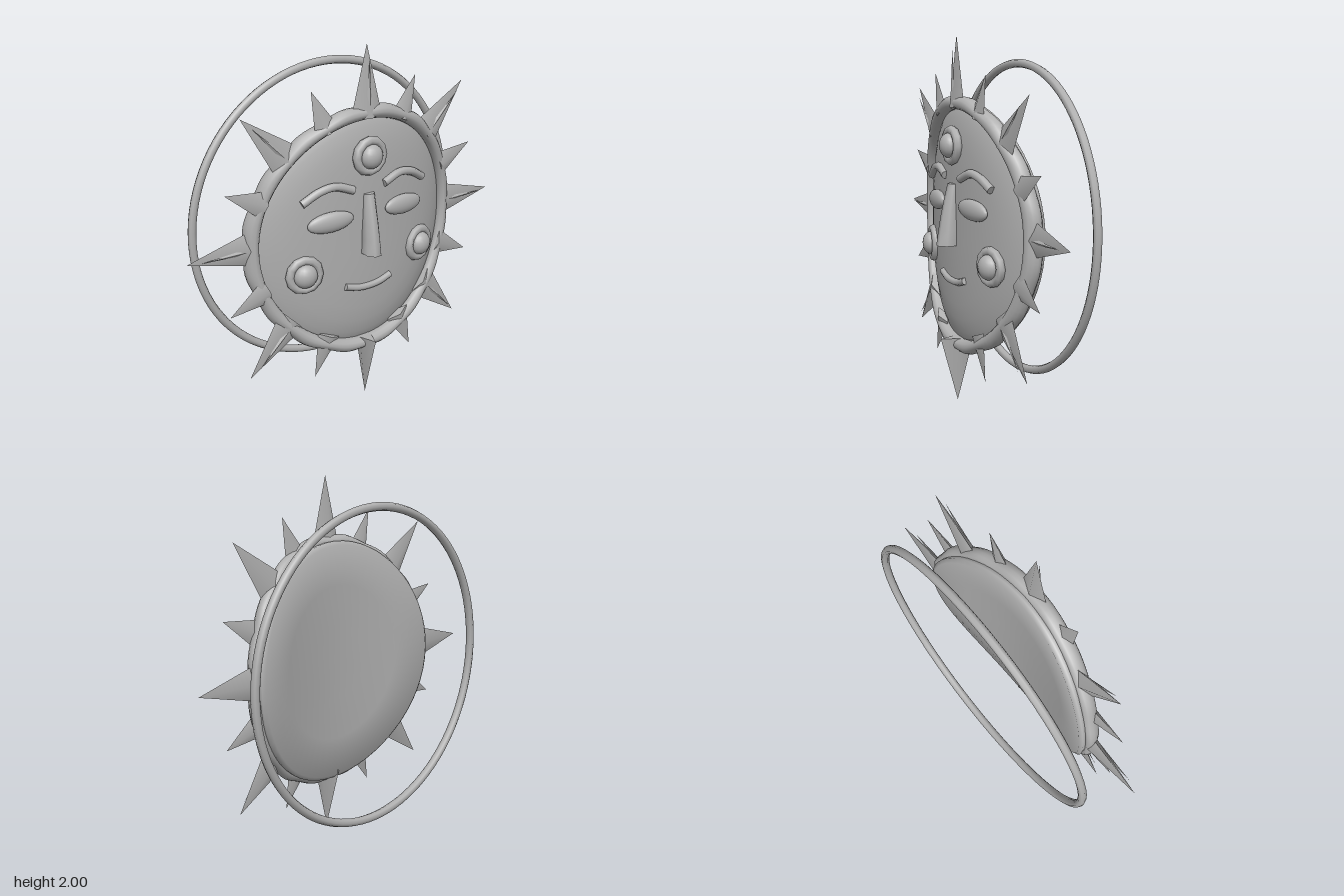
import * as THREE from 'three';
import { toCreasedNormals } from 'three/addons/utils/BufferGeometryUtils.js';

const BEND = 0.28;            // the mask curves backwards towards its sides
const CY = 0.984;             // height of the face centre
const TALL = 1.03;            // the face is slightly taller than wide
const bendZ = (x) => -BEND * x * x;

// Push every vertex back along the cylindrical curve of the mask
function bend(geometry) {
  const p = geometry.attributes.position;
  for (let i = 0; i < p.count; i++) {
    p.setXYZ(i, p.getX(i), p.getY(i) * TALL, p.getZ(i) + bendZ(p.getX(i)));
  }
  return toCreasedNormals(geometry, 1.3);
}

export function createModel() {
  const root = new THREE.Group();
  root.name = 'sunMask';
  const stone = new THREE.MeshStandardMaterial({ color: 0xb0b0b0 });
  stone.name = 'grey';

  const add = (name, geometry, parent = root) => {
    const mesh = new THREE.Mesh(geometry, stone);
    mesh.name = name;
    parent.add(mesh);
    return mesh;
  };
  // Place a part on the curved face, turned to its slope
  const onFace = (mesh, x, y, z) => {
    mesh.position.set(x, y, z + bendZ(x));
    mesh.rotation.y = Math.atan(2 * BEND * x);
    return mesh;
  };

  // Face plate: softly domed front, flat back with rounded edge
  const profile = [
    [0, 0.045], [0.2, 0.045], [0.42, 0.045], [0.63, 0.05], [0.65, 0.068],
    [0.645, 0.1], [0.615, 0.118], [0.57, 0.135], [0.5, 0.15], [0.42, 0.158],
    [0.3, 0.163], [0.15, 0.164], [0, 0.164],
  ].map(([r, z]) => new THREE.Vector2(r, z));
  const plate = new THREE.LatheGeometry(profile, 64);
  plate.rotateX(Math.PI / 2);
  add('face', bend(plate)).position.y = CY;

  // Gently scalloped rim around the face
  const rimGeo = new THREE.TorusGeometry(0.642, 0.036, 12, 128);
  const rp = rimGeo.attributes.position;
  for (let i = 0; i < rp.count; i++) {
    const x = rp.getX(i), y = rp.getY(i), r = Math.hypot(x, y);
    const wave = -0.005 * Math.cos(16 * Math.atan2(y, x)) * Math.max(0, (r - 0.62) / 0.058);
    rp.setXYZ(i, x * (1 + wave / r), y * (1 + wave / r), rp.getZ(i) * 1.25 + 0.13);
  }
  add('rim', bend(rimGeo)).position.y = CY;

  // Rays: four-sided spikes, alternating long and short
  const spike = (length, halfWide, halfDeep) => {
    const g = new THREE.ConeGeometry(1, length, 4, 1);
    g.scale(halfWide, 1, halfDeep);
    g.translate(0, length / 2, 0);
    return toCreasedNormals(g, 1.2);
  };
  const rays = new THREE.Group();
  rays.name = 'rays';
  root.add(rays);
  for (let i = 0; i < 16; i++) {
    const a = (i * Math.PI) / 8;
    const long = i % 2 === 0, bottom = i === 8;
    const tip = long ? 1 : 0.865;
    const base = bottom ? 0.64 : 0.62;
    const tipX = Math.sin(a) * tip;
    const ray = new THREE.Group();
    ray.name = long ? 'longRay' : 'shortRay';
    ray.rotation.z = -a;
    ray.position.set(Math.sin(a) * base, 1 + Math.cos(a) * base, 0.14 - 0.13 * tipX * tipX);
    rays.add(ray);
    if (bottom) {
      add('raySpike', spike(tip - base, 0.038, 0.1), ray);
    } else {
      add('raySpike', spike(tip - base, long ? 0.1 : 0.075, long ? 0.042 : 0.033), ray);
      // thin raised ridge on the front of the spike
      if (long) add('rayRidge', spike(0.31, 0.02, 0.014), ray).position.z = 0.024;
    }
  }

  // Round ornaments: forehead and both cheeks
  for (const [name, x, y, z] of [['forehead', 0, 1.42, 0.172], ['leftCheek', 0.385, 0.825, 0.163], ['rightCheek', -0.385, 0.825, 0.163]]) {
    const g = onFace(new THREE.Group(), x, y, z);
    g.name = name;
    root.add(g);
    add('ornamentRing', new THREE.TorusGeometry(0.083, 0.025, 8, 12), g);
    const bead = add('ornamentBead', new THREE.SphereGeometry(0.066, 16, 12), g);
    bead.scale.z = 0.75;
    bead.position.z = 0.016;
  }

  // Eyes and brows, mirrored
  for (const s of [1, -1]) {
    const side = s > 0 ? 'left' : 'right';
    const eyeGeo = new THREE.SphereGeometry(1, 20, 12);
    eyeGeo.rotateZ(Math.PI / 2);
    eyeGeo.scale(0.135, 0.056, 0.032);
    eyeGeo.rotateZ(s * -0.05);
    onFace(add(side + 'Eye', eyeGeo), s * 0.24, 1.1, 0.173);
    add(side + 'Brow', strip([[0.1, 1.25], [0.21, 1.287], [0.3, 1.272], [0.395, 1.22]], s, 0.023));
  }

  // Smiling mouth
  add('mouth', strip([[-0.15, 0.707], [-0.07, 0.685], [0, 0.68], [0.07, 0.685], [0.15, 0.707]], 1, 0.019));

  // Nose: eight-sided bar, thinning and sinking into the face upwards
  const noseGeo = new THREE.CylinderGeometry(1, 1, 1, 8, 4);
  noseGeo.rotateY(Math.PI / 8);
  const np = noseGeo.attributes.position;
  for (let i = 0; i < np.count; i++) {
    const t = np.getY(i) + 0.5;
    const front = 0.255 - 0.04 * t - 0.025 * t * t, back = 0.13;
    const z = (front + back) / 2 + (np.getZ(i) / 0.924) * (front - back) / 2;
    np.setXYZ(i, np.getX(i) * THREE.MathUtils.lerp(0.05, 0.034, t), 0.88 + 0.335 * t, z);
  }
  add('nose', toCreasedNormals(noseGeo, 1.1));

  // Large hoop standing behind the mask
  add('backHoop', new THREE.TorusGeometry(0.848, 0.023, 8, 96)).position.set(0, 1.005, -0.225);

  return root;
}

// Round strip with closed ends that follows the curved face
function strip(points, side, radius) {
  const pts = points.map(([x, y]) => new THREE.Vector3(side * x, y, 0.168 + bendZ(x)));
  const curve = new THREE.CatmullRomCurve3(pts);
  const tube = new THREE.TubeGeometry(curve, 16, radius, 8);
  const verts = [...tube.attributes.position.array], index = [...tube.index.array];
  // fan caps over the first and last ring
  [[0, pts[0], false], [16 * 9, pts[pts.length - 1], true]].forEach(([first, c, end]) => {
    const centre = verts.length / 3;
    verts.push(c.x, c.y, c.z);
    for (let j = 0; j < 8; j++) {
      const a = first + j, b = first + j + 1;
      index.push(centre, ...(end ? [b, a] : [a, b]));
    }
  });
  const g = new THREE.BufferGeometry();
  g.setAttribute('position', new THREE.Float32BufferAttribute(verts, 3));
  g.setIndex(index);
  return toCreasedNormals(g, 0.9);
}
